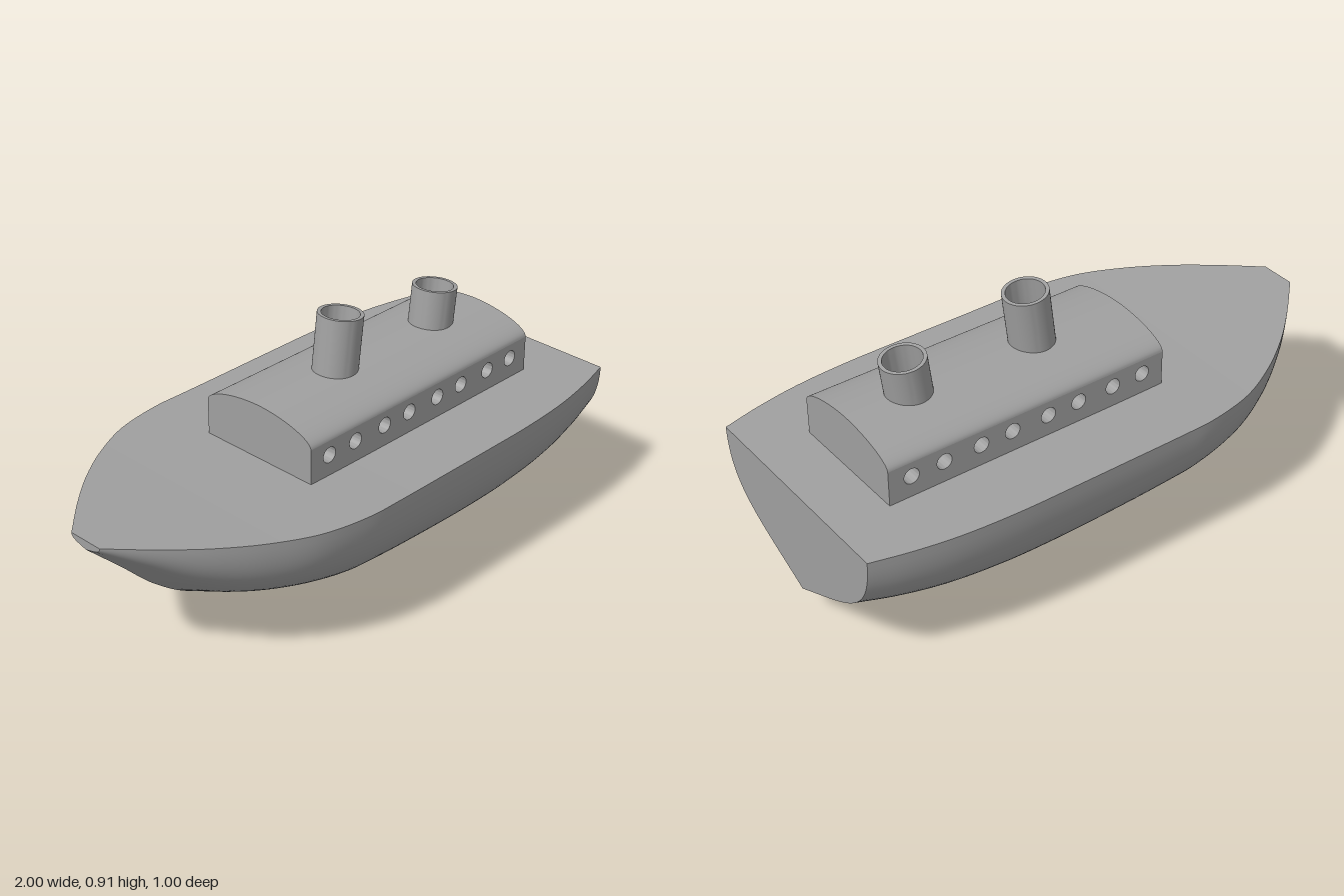
import * as THREE from 'three';
import { toCreasedNormals } from 'three/addons/utils/BufferGeometryUtils.js';

const V = (x, y, z) => new THREE.Vector3(x, y, z);

// Surface through a list of equally long rows of points
function loft(rows) {
  const n = rows[0].length, index = [];
  for (let i = 0; i < rows.length - 1; i++) {
    for (let j = 0; j < n - 1; j++) {
      const a = i * n + j, b = a + n;
      index.push(a, b, b + 1, a, b + 1, a + 1);
    }
  }
  const g = new THREE.BufferGeometry().setFromPoints(rows.flat());
  g.setIndex(index);
  g.computeVertexNormals();
  return g;
}

export function createModel() {
  const model = new THREE.Group();
  model.name = 'steamship';
  const material = new THREE.MeshStandardMaterial({ color: 0xa0a0a0 });
  const add = (parent, name, geometry) => {
    const mesh = new THREE.Mesh(geometry, material);
    mesh.name = name;
    parent.add(mesh);
    return mesh;
  };

  // Hull lines: position along the ship, keel height, half width of the deck
  const lines = new THREE.CatmullRomCurve3([
    V(-1, 0.51, 0.065), V(-0.87, 0.385, 0.192), V(-0.74, 0.257, 0.302),
    V(-0.6, 0.158, 0.394), V(-0.45, 0.102, 0.463), V(-0.27, 0.05, 0.496),
    V(-0.15, 0.03, 0.498), V(0.05, 0.011, 0.498), V(0.3, 0.001, 0.498),
    V(0.5, 0.01, 0.496), V(0.7, 0.037, 0.482), V(0.86, 0.075, 0.455), V(1, 0.12, 0.42),
  ]);
  // Half section, from keel (0, 0) to deck edge (1, 1)
  const section = new THREE.CubicBezierCurve(
    new THREE.Vector2(0, 0), new THREE.Vector2(0.64, 0.33),
    new THREE.Vector2(1, 0.42), new THREE.Vector2(1, 1),
  ).getPoints(24);
  const sheer = (x) => 0.512 + 0.031 * Math.min(x, 0) ** 2;

  const stations = lines.getPoints(72);
  const half = (p, side) => section.map((s) =>
    V(p.x, p.y + (sheer(p.x) - p.y) * s.y, side * p.z * s.x));
  const bow = stations[0], stern = stations[stations.length - 1];

  const hull = new THREE.Group();
  hull.name = 'hull';
  model.add(hull);
  add(hull, 'rightHullSide', loft(stations.map((p) => half(p, 1))));
  add(hull, 'leftHullSide', loft(stations.map((p) => half(p, -1).reverse())));
  add(hull, 'deck', loft(stations.map((p) => [V(p.x, sheer(p.x), p.z), V(p.x, sheer(p.x), -p.z)])));
  add(hull, 'transom', loft([half(stern, 1), half(stern, -1)]));
  add(hull, 'bowFace', loft([half(bow, -1), half(bow, 1)]));

  // Cabin with portholes running right through
  const cabin = new THREE.Group();
  cabin.name = 'cabin';
  model.add(cabin);
  const x0 = -0.27, x1 = 0.8, eaves = 0.64, ridge = 0.711, w = 0.235;
  const wall = new THREE.Shape([
    new THREE.Vector2(x0, 0.505), new THREE.Vector2(x1, 0.505),
    new THREE.Vector2(x1, eaves), new THREE.Vector2(x0, eaves),
  ]);
  for (const x of [-0.185, -0.064, 0.075, 0.196, 0.336, 0.456, 0.595, 0.716]) {
    wall.holes.push(new THREE.Path().absarc(x, 0.588, 0.028, 0, Math.PI * 2, true));
  }
  const walls = new THREE.ExtrudeGeometry(wall, { depth: 2 * w, bevelEnabled: false, curveSegments: 24 });
  walls.translate(0, 0, -w);
  add(cabin, 'cabinWalls', toCreasedNormals(walls, 0.6));

  // Arched roof, flowing out of the side walls
  const arch = new THREE.Shape();
  arch.moveTo(w, eaves);
  arch.bezierCurveTo(w, 0.68, 0.1, ridge, 0, ridge);
  arch.bezierCurveTo(-0.1, ridge, -w, 0.68, -w, eaves);
  const roof = new THREE.ExtrudeGeometry(arch, { depth: x1 - x0, bevelEnabled: false, curveSegments: 20 });
  roof.rotateY(Math.PI / 2).translate(x0, 0, 0);
  add(cabin, 'cabinRoof', toCreasedNormals(roof, 0.5));

  // Raked hollow funnels, placed by the centre of the rim
  const funnel = (name, x, y) => {
    const floor = 0.7 - y;
    const profile = [[0.078, floor - 0.04], [0.078, 0], [0.065, 0], [0.065, floor], [0, floor]]
      .map(([r, h]) => new THREE.Vector2(r, h));
    const mesh = add(model, name, toCreasedNormals(new THREE.LatheGeometry(profile, 48), 0.6));
    mesh.position.set(x, y, 0);
    mesh.rotation.z = -0.125;
  };
  funnel('frontFunnel', 0.112, 0.902);
  funnel('rearFunnel', 0.582, 0.838);

  return model;
}
